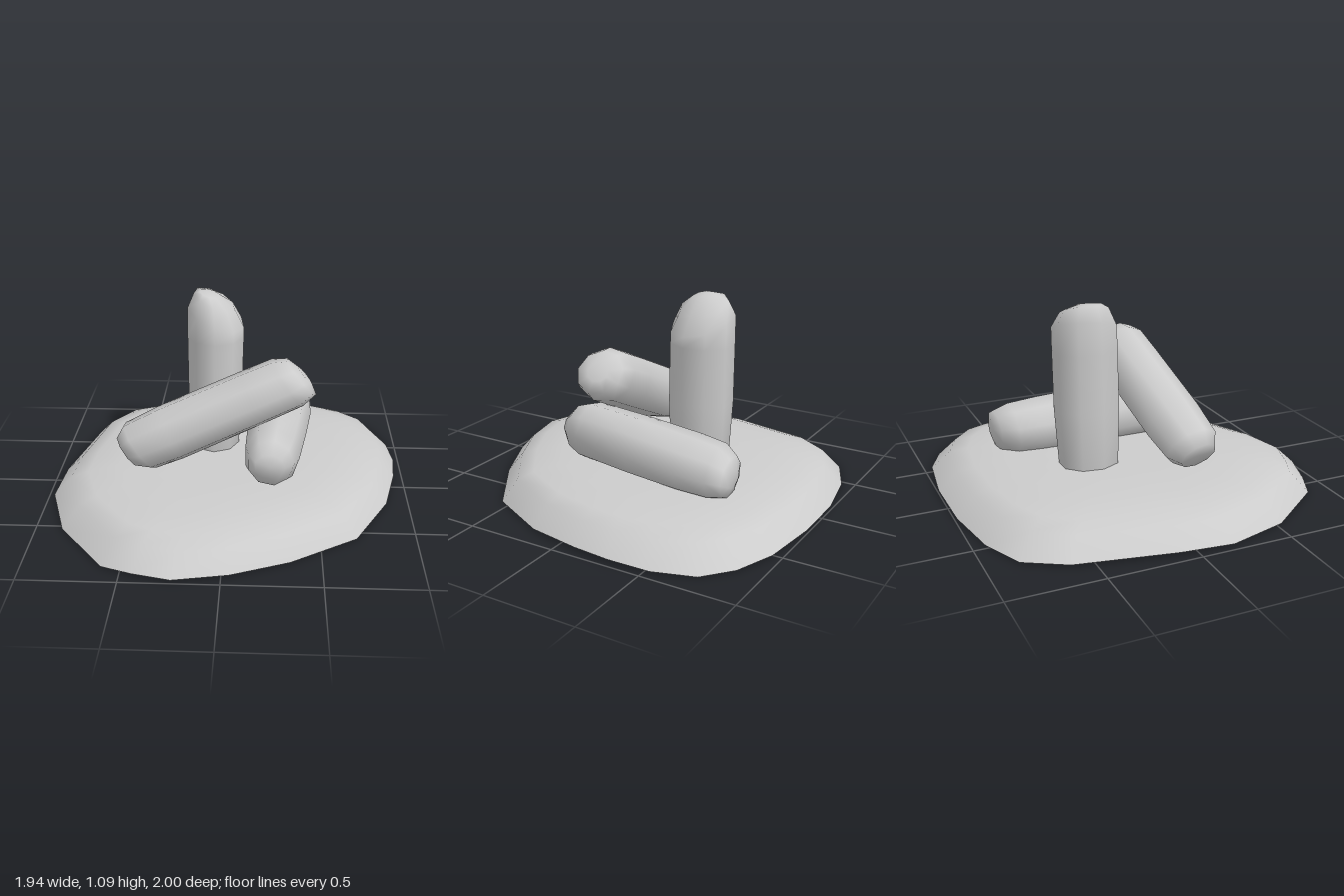
import * as THREE from 'three';

const material = new THREE.MeshStandardMaterial({ color: 0xcccccc, side: THREE.DoubleSide });

function smoothMesh(name, positions, index) {
  const geometry = new THREE.BufferGeometry();
  geometry.setAttribute('position', new THREE.Float32BufferAttribute(positions, 3));
  geometry.setIndex(index);
  geometry.computeVertexNormals();
  const mesh = new THREE.Mesh(geometry, material);
  mesh.name = name;
  return mesh;
}

// A log lofted along the line from a to b. Each ring is
// [distance along the axis 0..1, radius u, radius v, tilt u, tilt v, offset u, offset v].
function makeLog(name, a, b, side, rings, sides = 9) {
  const start = new THREE.Vector3(...a);
  const axis = new THREE.Vector3(...b).sub(start);
  const w = axis.clone().normalize();
  const u = new THREE.Vector3(...side);
  u.addScaledVector(w, -u.dot(w)).normalize();
  const v = w.clone().cross(u);
  const positions = [], index = [];
  const centres = [];
  rings.forEach(([t, ru, rv, tu = 0, tv = 0, ou = 0, ov = 0], r) => {
    const centre = start.clone().addScaledVector(axis, t).addScaledVector(u, ou).addScaledVector(v, ov);
    centres.push(centre);
    for (let i = 0; i < sides; i++) {
      const angle = (i / sides) * Math.PI * 2;
      const c = Math.cos(angle) * ru, s = Math.sin(angle) * rv;
      const p = centre.clone().addScaledVector(u, c).addScaledVector(v, s).addScaledVector(w, c * tu + s * tv);
      positions.push(p.x, p.y, p.z);
      if (r === 0) continue;
      const j = (i + 1) % sides, lo = (r - 1) * sides, hi = r * sides;
      index.push(lo + i, lo + j, hi + j, lo + i, hi + j, hi + i);
    }
  });
  // End caps
  const last = (rings.length - 1) * sides, hub = rings.length * sides;
  positions.push(...centres[0].toArray(), ...centres[centres.length - 1].toArray());
  for (let i = 0; i < sides; i++) {
    const j = (i + 1) % sides;
    index.push(hub, j, i, hub + 1, last + i, last + j);
  }
  return smoothMesh(name, positions, index);
}

// Low, open-bottomed mound with an uneven outline
function makeMound() {
  const outline = [
    [-0.15, -0.99], [0.2, -1], [0.53, -0.96], [0.73, -0.87], [0.87, -0.74], [0.95, -0.53], [0.97, -0.31],
    [0.95, -0.1], [0.88, 0.2], [0.69, 0.56], [0.34, 0.8], [0.04, 0.94], [-0.24, 1], [-0.44, 0.94],
    [-0.6, 0.87], [-0.86, 0.53], [-0.97, 0.19], [-0.95, -0.1], [-0.84, -0.62], [-0.7, -0.83], [-0.47, -0.93],
  ];
  const levels = [[0.32, 0.178], [0.62, 0.175], [0.8, 0.147], [0.9, 0.115], [1, 0.01]];
  const n = outline.length;
  const positions = [0, 0.178, 0], index = [];
  levels.forEach(([scale, y], r) => {
    outline.forEach(([x, z], i) => {
      const ripple = r === levels.length - 1 ? 0.01 * Math.sin(i * 1.2) : 0;
      positions.push(x * scale, y + ripple, z * scale);
      const j = (i + 1) % n, a = 1 + r * n, b = a - n;
      if (r === 0) index.push(0, 1 + j, 1 + i);
      else index.push(b + i, b + j, a + j, b + i, a + j, a + i);
    });
  });
  return smoothMesh('groundMound', positions, index);
}

export function createModel() {
  const group = new THREE.Group();
  group.name = 'logPile';
  group.add(makeMound());

  // Upright log with a slanted top
  group.add(makeLog('uprightLog', [-0.09, 0.1, -0.22], [-0.08, 1.1, -0.24], [0, 0, 1], [
    [0, 0.1, 0.09],
    [0.06, 0.17, 0.14],
    [0.4, 0.185, 0.155],
    [0.72, 0.182, 0.16],
    [0.84, 0.18, 0.16, -0.15, -0.35],
    [0.93, 0.135, 0.115, -0.1, -0.4, 0, -0.01],
    [0.97, 0.06, 0.055, -0.1, -0.25, 0.02, -0.035],
  ]));

  // Log leaning across the pile
  group.add(makeLog('leaningLog', [-0.54, 0.31, 0.21], [0.41, 0.73, 0.11], [0, 0, 1], [
    [0, 0.1, 0.1, 0, 0.2],
    [0.07, 0.145, 0.15, 0, 0.2],
    [0.25, 0.16, 0.16],
    [0.7, 0.165, 0.155],
    [0.9, 0.165, 0.15, 0, 0.2],
    [0.98, 0.13, 0.12, 0, 0.3],
    [1, 0.06, 0.055, 0, 0.3],
  ]));

  // Log lying front to back
  group.add(makeLog('lyingLog', [0.23, 0.33, 0.41], [0.31, 0.27, -0.65], [1, 0, 0], [
    [0, 0.08, 0.07],
    [0.05, 0.125, 0.13],
    [0.13, 0.15, 0.165],
    [0.45, 0.17, 0.165],
    [0.75, 0.182, 0.155],
    [0.9, 0.17, 0.145, 0.12],
    [0.98, 0.125, 0.11, 0.12, 0, 0.02],
    [1, 0.06, 0.05, 0.05, 0, 0.03],
  ]));
  return group;
}
